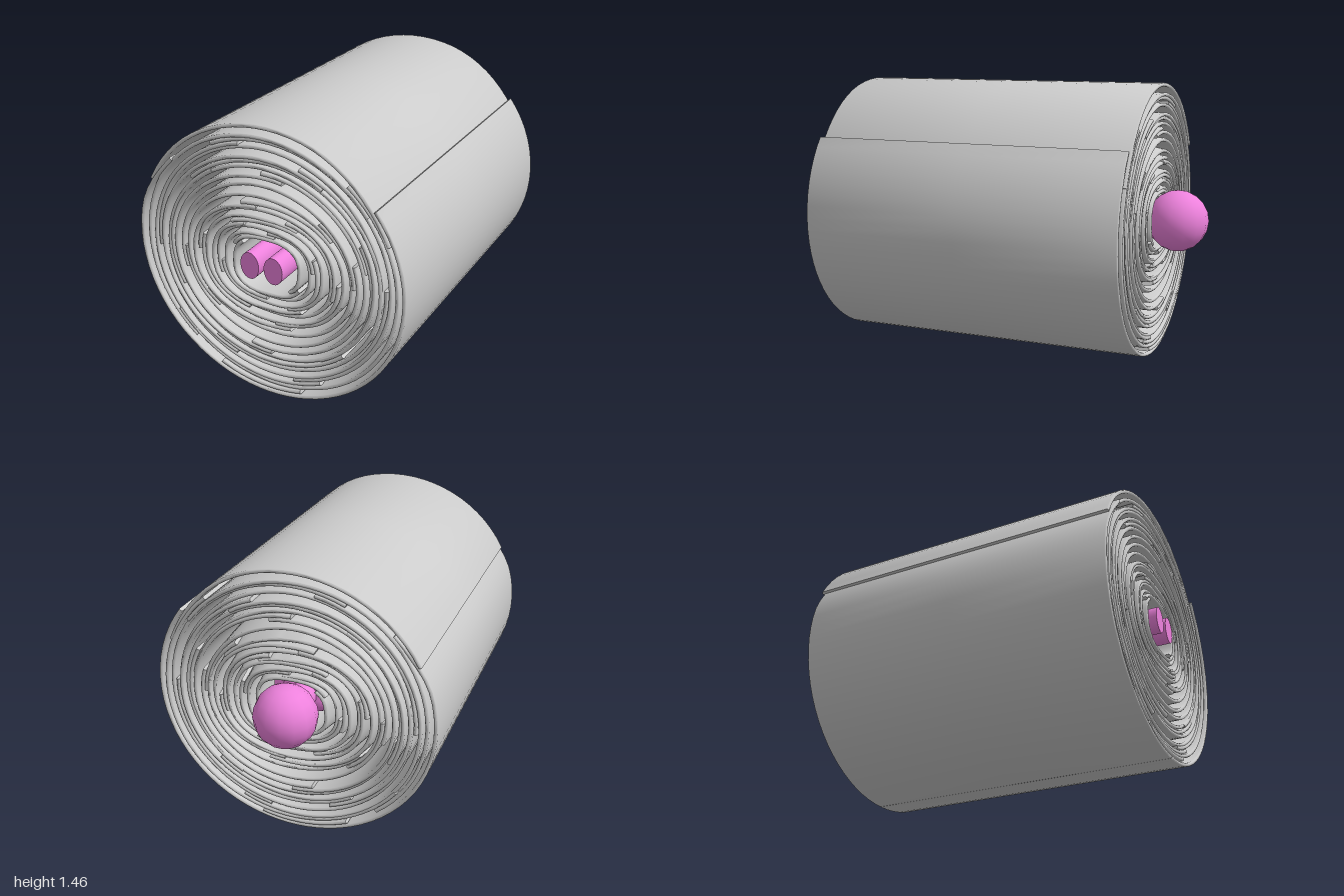
import * as THREE from 'three';
import { toCreasedNormals } from 'three/addons/utils/BufferGeometryUtils.js';
import { RoundedBoxGeometry } from 'three/addons/geometries/RoundedBoxGeometry.js';

const CY = 0.73, BACK = -0.745, FRONT = 0.985, HALF = 0.01;
const rad = THREE.MathUtils.degToRad;

const clothMat = new THREE.MeshStandardMaterial({ color: 0xcccccc, side: THREE.DoubleSide });
const skinMat = new THREE.MeshStandardMaterial({ color: 0xee82dd });

// Distance from the axis to a superellipse in direction a
function superRadius(a, rx, ry, n) {
  return Math.pow(
    Math.pow(Math.abs(Math.cos(a)) / rx, n) + Math.pow(Math.abs(Math.sin(a)) / ry, n), -1 / n);
}

// Curved cloth sheet with rounded edges. It starts tucked in by `tuck` and
// rises to its full radius; `bulge` widens it around the shoulders.
function sheetGeometry({ start, sweep, rx, ry, n = 2, tuck = 0, rise = 1, bulge = 0, front = FRONT, back = BACK }) {
  const steps = bulge ? [0.12, 0.25, 0.4, 0.6, 0.8] : [0.5];
  const b = 0.007;
  const outer = [[back, 0.004], [back + 0.003, 0.008], [back + b, HALF],
    ...steps.map(t => [THREE.MathUtils.lerp(back, front, t), HALF]),
    [front - b, HALF], [front - 0.003, 0.008], [front, 0.004]];
  const loop = [...outer, ...outer.slice().reverse().map(([z, d]) => [z, -d])];
  const segs = Math.max(12, Math.round(sweep / 5));
  const m = loop.length, pos = [], idx = [];
  // The first and last section are flattened to close the ends
  for (let i = -1; i <= segs + 1; i++) {
    const t = THREE.MathUtils.clamp(i / segs, 0, 1);
    const thick = i < 0 || i > segs ? 0 : 1;
    const a = rad(start + sweep * t);
    const drop = tuck * (1 - THREE.MathUtils.smoothstep(t, 0, rise));
    const r = superRadius(a, rx, ry, n) - drop;
    for (const [z, d] of loop) {
      const u = (z - back) / (front - back);
      const swell = bulge * Math.sin(Math.PI * Math.pow(u, 0.55)) ** 2;
      const q = r + swell + d * thick;
      pos.push(q * Math.cos(a), CY + q * Math.sin(a), z);
    }
  }
  for (let i = 0; i < segs + 2; i++) {
    for (let j = 0; j < m; j++) {
      const k = (j + 1) % m;
      const A = i * m + j, B = (i + 1) * m + j, C = (i + 1) * m + k, D = i * m + k;
      idx.push(A, B, D, B, C, D);
    }
  }
  const g = new THREE.BufferGeometry();
  g.setAttribute('position', new THREE.Float32BufferAttribute(pos, 3));
  g.setIndex(idx);
  return toCreasedNormals(g, 0.9);
}

function add(parent, name, geometry, material, x = 0, y = 0, z = 0) {
  const mesh = new THREE.Mesh(geometry, material);
  mesh.name = name;
  mesh.position.set(x, y, z);
  parent.add(mesh);
  return mesh;
}

// Elliptical rod running along z
function rod(rx, ry, length) {
  return new THREE.CylinderGeometry(1, 1, length, 24).rotateX(Math.PI / 2).scale(rx, ry, 1);
}

export function createModel() {
  const model = new THREE.Group();
  model.name = 'rolledSleeper';

  // Three overlapping outer sheets with visible long edges
  const outer = new THREE.Group();
  outer.name = 'outerWrap';
  model.add(outer);
  const rx = 0.745, ry = 0.72;
  add(outer, 'outerSheetRight', sheetGeometry({ start: 268, sweep: 128, rx, ry, front: 0.985, back: -0.735 }), clothMat);
  add(outer, 'outerSheetTop', sheetGeometry({ start: 22, sweep: 131, rx, ry, tuck: 0.032, rise: 0.4, front: 0.975 }), clothMat);
  add(outer, 'outerSheetLeft', sheetGeometry({ start: 138, sweep: 132, rx, ry, tuck: 0.032, rise: 0.22, front: 0.985, back: -0.735 }), clothMat);
  add(outer, 'outerSheetBottom', sheetGeometry({ start: 245, sweep: 40, rx: 0.715, ry: 0.692 }), clothMat);

  // Inner layers: half widths and half heights, outside to inside
  const layers = [
    [0.705, 0.68], [0.675, 0.652], [0.645, 0.615], [0.62, 0.58], [0.595, 0.545],
    [0.57, 0.52], [0.54, 0.49], [0.5, 0.43], [0.465, 0.375], [0.43, 0.33],
    [0.395, 0.3], [0.355, 0.265], [0.32, 0.235], [0.28, 0.205], [0.24, 0.18], [0.2, 0.15],
  ];
  const inner = new THREE.Group();
  inner.name = 'innerWraps';
  model.add(inner);
  layers.forEach(([lx, ly], i) => {
    const turn = i === 7 ? 0 : 35 + i * 67;
    const depth = Math.max(0, i - 7) / 8;
    for (const half of [0, 1]) {
      add(inner, `wrap${i + 1}${half ? 'Second' : 'First'}`, sheetGeometry({
        start: turn + half * 180,
        sweep: 194,
        rx: lx, ry: ly,
        n: 2 + 0.7 * depth,
        tuck: 0.022,
        rise: 0.6,
        bulge: i < 7 ? 0 : i === 7 ? 0.02 : 0.05,
        front: 0.975 - 0.004 * (i % 3),
        back: BACK + 0.004 * (i % 3),
      }), clothMat);
    }
  });

  // Sleeper inside the roll
  const sleeper = new THREE.Group();
  sleeper.name = 'sleeper';
  sleeper.position.set(-0.01, 0.732, 0);
  model.add(sleeper);
  add(sleeper, 'head', new THREE.SphereGeometry(0.164, 14, 10), skinMat, 0, 0, -0.836);
  add(sleeper, 'neck', rod(0.07, 0.07, 0.2), skinMat, 0, 0, -0.64);
  add(sleeper, 'torso', new RoundedBoxGeometry(0.3, 0.23, 0.62, 4, 0.1), skinMat, 0, -0.01, -0.3);
  for (const s of [-1, 1]) {
    const side = s > 0 ? 'left' : 'right';
    add(sleeper, `${side}Leg`, rod(0.053, 0.072, 1.1), skinMat, s * 0.067, 0, 0.45);
    add(sleeper, `${side}Arm`, rod(0.035, 0.045, 0.6), skinMat, s * 0.145, 0.02, -0.27);
  }
  return model;
}
